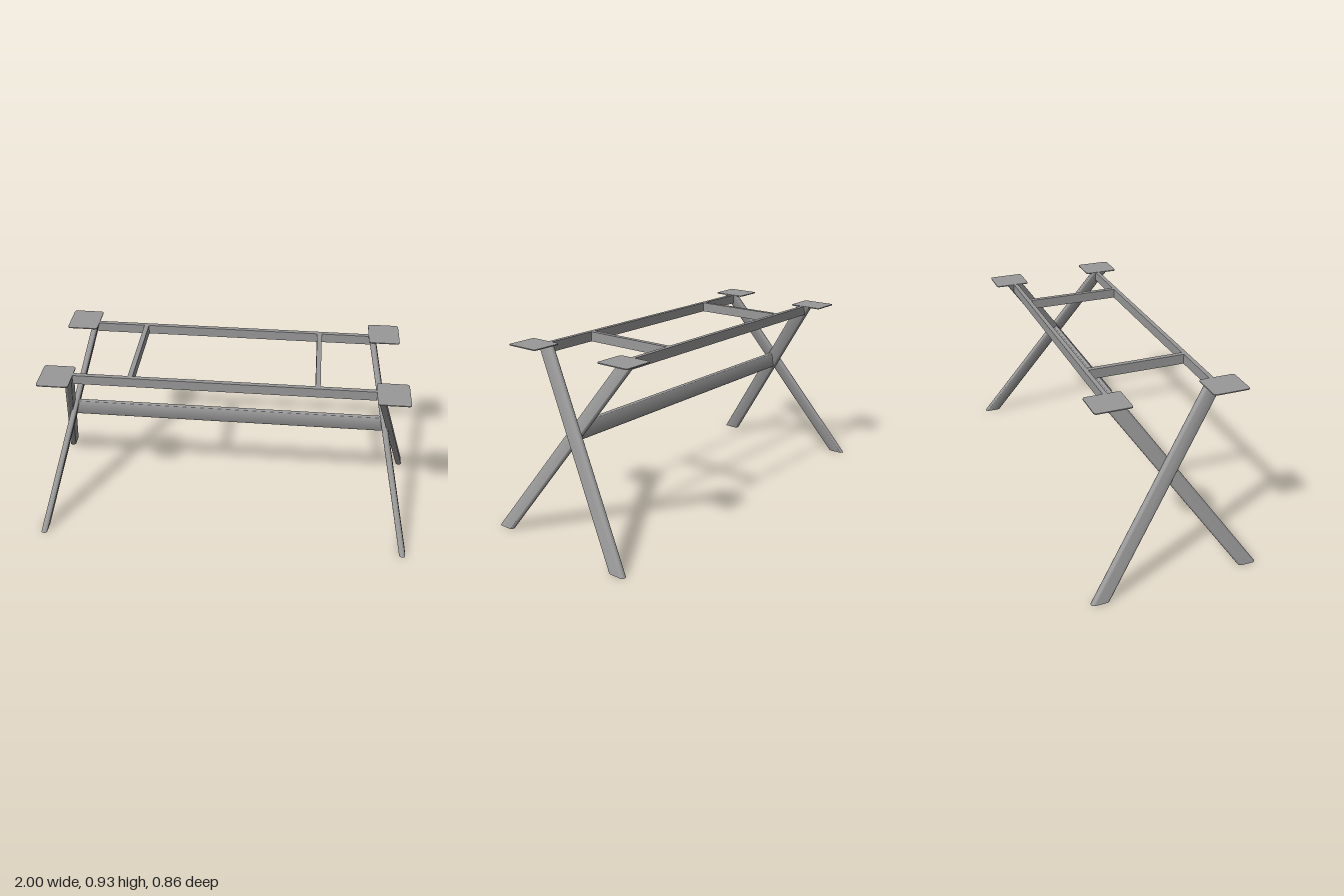
import * as THREE from 'three';
import { toCreasedNormals } from 'three/addons/utils/BufferGeometryUtils.js';

const H = 0.928; // overall height
const steel = new THREE.MeshStandardMaterial({ color: 0x999999 });
steel.name = 'grey steel';

// Rounded rectangle of size w by h with corner radius r
function roundedShape(w, h, r) {
  const x = w / 2 - r, y = h / 2 - r;
  const s = new THREE.Shape();
  s.absarc(x, y, r, 0, Math.PI / 2);
  s.absarc(-x, y, r, Math.PI / 2, Math.PI);
  s.absarc(-x, -y, r, Math.PI, Math.PI * 1.5);
  s.absarc(x, -y, r, Math.PI * 1.5, Math.PI * 2);
  s.closePath();
  return s;
}

function bar(shape, depth) {
  return new THREE.ExtrudeGeometry(shape, { depth, bevelEnabled: false, curveSegments: 8 });
}

export function createModel() {
  const model = new THREE.Group();
  model.name = 'tableFrame';
  const add = (name, geometry, x = 0, y = 0, z = 0) => {
    const mesh = new THREE.Mesh(geometry, steel);
    mesh.name = name;
    mesh.position.set(x, y, z);
    model.add(mesh);
  };

  // Oval-tube leg, sheared so that both ends stay cut level
  const leg = (x0, z0, x1, z1) => {
    const g = bar(roundedShape(0.032, 0.09, 0.0155), H - 0.003);
    g.rotateX(-Math.PI / 2);
    g.applyMatrix4(new THREE.Matrix4().set(
      1, (x1 - x0) / H, 0, x0,
      0, 1, 0, 0,
      0, (z1 - z0) / H, 1, z0,
      0, 0, 0, 1));
    return toCreasedNormals(g, 0.6);
  };

  const padGeometry = toCreasedNormals(bar(roundedShape(0.158, 0.18, 0.014), 0.005).rotateX(-Math.PI / 2), 0.6);

  for (const s of [1, -1]) {
    const side = s > 0 ? 'left' : 'right';
    // Crossed legs, one just outside the other
    add(side + 'OuterLeg', leg(s * 0.984, -0.384, s * 0.757, 0.265));
    add(side + 'InnerLeg', leg(s * 0.961, 0.384, s * 0.734, -0.265));
    // Mounting plates on the leg tops
    add(side + 'FrontPlate', padGeometry, s * 0.821, H - 0.005, 0.273);
    add(side + 'BackPlate', padGeometry, s * 0.796, H - 0.005, -0.277);
    // Short cross bar between the rails
    add(side + 'CrossBar', new THREE.BoxGeometry(0.024, 0.049, 0.49), s * 0.46, H - 0.0255, -0.0045);
  }

  // Long top rails
  add('frontRail', new THREE.BoxGeometry(1.49, 0.049, 0.022), 0, H - 0.0255, 0.249);
  add('backRail', new THREE.BoxGeometry(1.46, 0.049, 0.022), 0, H - 0.0255, -0.259);

  // Oval-tube stretcher between the leg crossings
  const stretcher = bar(roundedShape(0.026, 0.09, 0.0125), 1.64);
  stretcher.translate(0, 0, -0.82).rotateY(Math.PI / 2);
  add('stretcher', toCreasedNormals(stretcher, 0.6), 0, 0.55, 0);

  return model;
}
